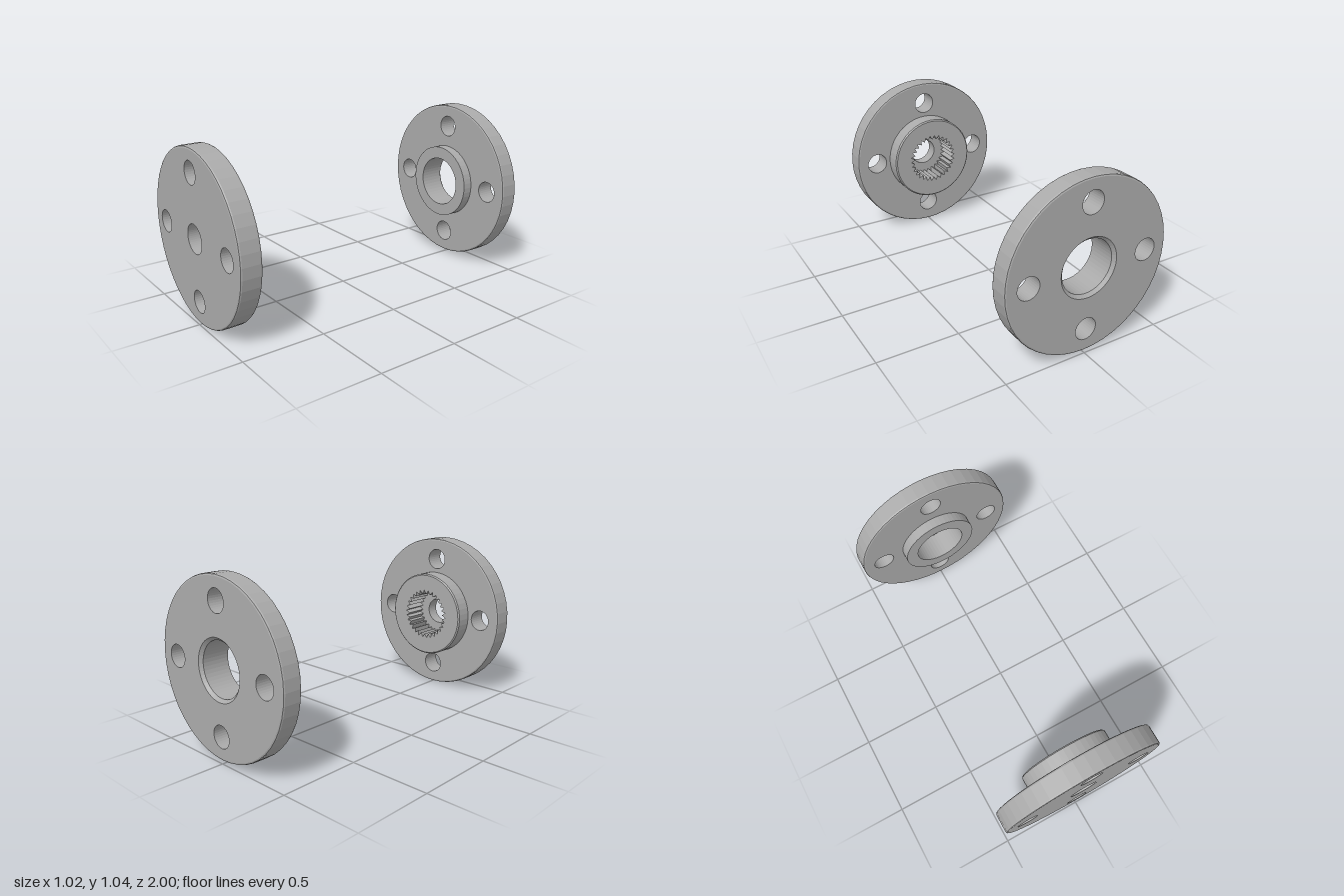
import * as THREE from 'three';

const SIDES = 48;
const BOLT_RADIUS = 0.067, BOLT_CIRCLE = 0.373, RIM = 0.512;

export function createModel() {
  const steel = new THREE.MeshStandardMaterial({ color: 0xaaaaaa, flatShading: true });
  steel.name = 'grey steel';

  const add = (group, name, geometry) => {
    const mesh = new THREE.Mesh(geometry, steel);
    mesh.name = name;
    group.add(mesh);
    return mesh;
  };

  // Polygon points of a circle; a tooth depth makes it a toothed outline
  const circle = (r, n = SIDES, cx = 0, cy = 0, tooth = 0) =>
    Array.from({ length: n }, (_, i) => {
      const a = (i / n) * Math.PI * 2;
      const rr = r - (i % 2) * tooth;
      return new THREE.Vector2(cx + rr * Math.cos(a), cy + rr * Math.sin(a));
    });

  const boltCentres = [0, 1, 2, 3].map(i => {
    const a = i * Math.PI / 2;
    return [BOLT_CIRCLE * Math.cos(a), BOLT_CIRCLE * Math.sin(a)];
  });

  // Flat ring at depth z, looking along +z or -z
  const ringFace = (outer, inner, z, facing, bolts = false) => {
    const shape = new THREE.Shape(circle(outer));
    shape.holes.push(new THREE.Path(circle(inner)));
    if (bolts) for (const [x, y] of boltCentres) {
      shape.holes.push(new THREE.Path(circle(BOLT_RADIUS, 32, x, y)));
    }
    const g = new THREE.ShapeGeometry(shape);
    if (facing < 0) g.rotateY(Math.PI);
    return g.translate(0, 0, z);
  };

  // Turned surface from [radius, z] pairs: rising z faces out, falling z faces in
  const turned = (profile, n = SIDES) =>
    new THREE.LatheGeometry(profile.map(p => new THREE.Vector2(...p)), n).rotateX(Math.PI / 2);

  // Chamfered disc with four bolt holes
  const flangePlate = (group, zBack, zFront, backInner, frontInner) => {
    const c = 0.011;
    add(group, 'rim', turned([
      [RIM - c, zBack], [RIM - c * 0.3, zBack + c * 0.3], [RIM, zBack + c],
      [RIM, zFront - c], [RIM - c * 0.3, zFront - c * 0.3], [RIM - c, zFront],
    ]));
    add(group, 'plateFront', ringFace(RIM - c, frontInner, zFront, 1, true));
    add(group, 'plateBack', ringFace(RIM - c, backInner, zBack, -1, true));
    for (const [x, y] of boltCentres) {
      add(group, 'boltHole', turned([[BOLT_RADIUS, zFront], [BOLT_RADIUS, zBack]], 32)
        .translate(x, y, 0));
    }
  };

  const model = new THREE.Group();
  model.name = 'flangePair';

  // Front flange: hub with a toothed socket and a small through bore
  const front = new THREE.Group();
  front.name = 'splinedFlange';
  flangePlate(front, 0.867, 0.995, 0.28, 0.086);
  add(front, 'hubWall', turned([[0.272, 0.759], [0.28, 0.767], [0.28, 0.867]]));
  const socket = new THREE.Shape(circle(0.272));
  socket.holes.push(new THREE.Path(circle(0.168, 60, 0, 0, 0.027)));
  add(front, 'toothedSocket', new THREE.ExtrudeGeometry(socket, { depth: 0.155, bevelEnabled: false })
    .translate(0, 0, 0.759));
  add(front, 'socketFloor', ringFace(0.17, 0.086, 0.914, -1));
  add(front, 'bore', turned([[0.086, 0.995], [0.086, 0.914]]));
  model.add(front);

  // Back flange: shorter hub with a wide plain bore, chamfered at the back
  const back = new THREE.Group();
  back.name = 'plainFlange';
  flangePlate(back, -0.995, -0.877, 0.178, 0.237);
  add(back, 'hubWall', turned([[0.237, -0.877], [0.237, -0.813]]));
  add(back, 'hubFace', ringFace(0.237, 0.16, -0.813, 1));
  add(back, 'bore', turned([[0.16, -0.813], [0.16, -0.977], [0.178, -0.995]]));
  model.add(back);

  // The shared axis dips slightly towards the front
  model.rotation.x = 0.009;
  model.position.y = 0.521;
  const root = new THREE.Group();
  root.add(model);
  return root;
}
